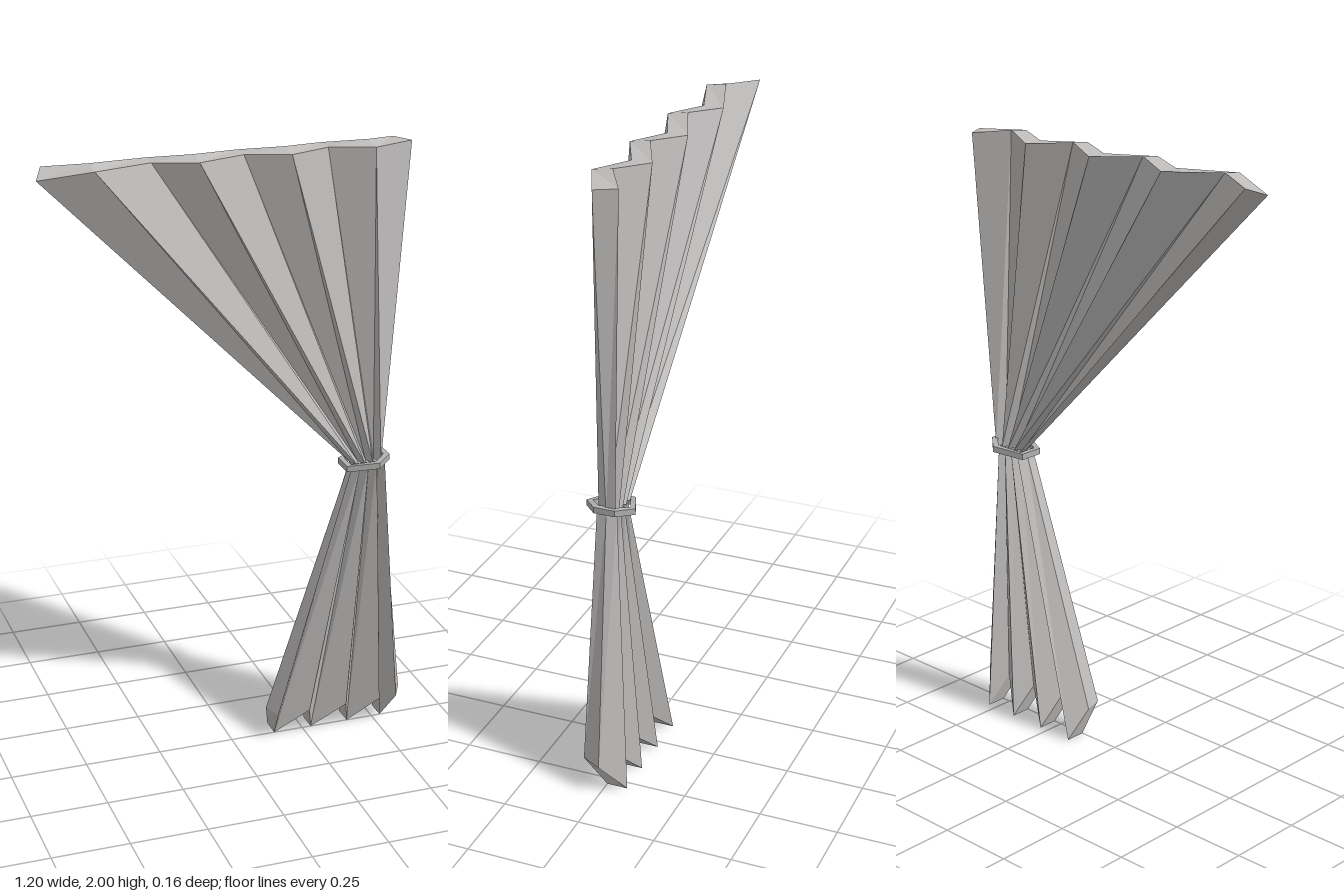
import * as THREE from 'three';

// Flat-shaded surface from quads of [x, y, z] corners, counter-clockwise from outside
function quadMesh(name, quads, material) {
  const pos = [];
  for (const [a, b, c, d] of quads) for (const p of [a, b, c, a, c, d]) pos.push(...p);
  const geo = new THREE.BufferGeometry();
  geo.setAttribute('position', new THREE.Float32BufferAttribute(pos, 3));
  geo.computeVertexNormals();
  const mesh = new THREE.Mesh(geo, material);
  mesh.name = name;
  return mesh;
}

// Pleated slab between two zigzag edges; each edge has front and back point rows
function pleats(name, upper, lower, material) {
  const loop = (e) => [...e.front, ...[...e.back].reverse()];
  const U = loop(upper), L = loop(lower), quads = [];
  for (let i = 0; i < U.length; i++) {
    const j = (i + 1) % U.length;
    quads.push([L[i], L[j], U[j], U[i]]);
  }
  for (let i = 0; i < upper.front.length - 1; i++) {
    quads.push([upper.front[i], upper.front[i + 1], upper.back[i + 1], upper.back[i]]);
    quads.push([lower.back[i], lower.back[i + 1], lower.front[i + 1], lower.front[i]]);
  }
  return quadMesh(name, quads, material);
}

// Gathered edge at the waist; phase 1 starts on a forward fold
function waist(phase) {
  const front = [], back = [];
  for (let i = 0; i < 9; i++) {
    const x = 0.4 + 0.11 * i / 8;
    const forward = (i + phase) % 2 === 1;
    front.push([x, 0.945, forward ? 0.03 : 0]);
    back.push([x, 0.945, forward ? 0 : -0.03]);
  }
  return { front, back };
}

export function createModel() {
  const group = new THREE.Group();
  group.name = 'curtain';
  const cloth = new THREE.MeshStandardMaterial({ color: 0xc0bebd });
  cloth.name = 'greyCloth';
  const tie = new THREE.MeshStandardMaterial({ color: 0xb2b1b0 });
  tie.name = 'tieGrey';

  // Upper drape: wide zigzag top edge, ends on backward folds
  const topX = [-0.57, -0.44, -0.25, -0.12, 0.04, 0.17, 0.31, 0.44, 0.55];
  const top = {
    front: topX.map((x, i) => [x, i % 2 ? 1.99 : 1.985, i % 2 ? 0.06 : -0.005]),
    back: topX.map((x, i) => [x, i % 2 ? 2 : 1.985, i % 2 ? -0.005 : -0.07]),
  };
  top.front[0] = [-0.6, 1.96, -0.005];
  top.front[8] = [0.585, 1.985, -0.005];
  group.add(pleats('upperDrape', top, waist(0), cloth));

  // Lower drape: forward folds hang at 0.1, backward folds reach the floor
  const hemX = [0.14, 0.15, 0.25, 0.28, 0.38, 0.41, 0.5, 0.53, 0.56];
  const hem = {
    front: hemX.map((x, i) => [x, i % 2 ? 0 : 0.1, i % 2 ? 0 : 0.065]),
    back: hemX.map((x, i) => [x, i % 2 ? 0 : 0.1, i % 2 ? -0.068 : 0]),
  };
  hem.back[0] = [0.12, 0.1, 0];
  hem.back[8] = [0.595, 0.1, 0];
  group.add(pleats('lowerDrape', waist(1), hem, cloth));

  // Tieback: tilted six-sided ring with a square section
  const corners = [[0.385, 0.035], [0.47, 0.07], [0.515, 0.03], [0.515, -0.03], [0.47, -0.07], [0.385, -0.035]];
  const sections = corners.map(([x, z]) => {
    const y = 0.938 + (x - 0.385) * 0.17, cx = 0.45;
    const len = Math.hypot(x - cx, z);
    const dx = (x - cx) / len * 0.01, dz = z / len * 0.01;
    return [[x + dx, y - 0.01, z + dz], [x + dx, y + 0.01, z + dz],
      [x - dx, y + 0.01, z - dz], [x - dx, y - 0.01, z - dz]];
  });
  const ringQuads = [];
  sections.forEach((a, i) => {
    const b = sections[(i + 1) % sections.length];
    for (let k = 0; k < 4; k++) {
      const m = (k + 1) % 4;
      ringQuads.push([a[k], b[k], b[m], a[m]]);
    }
  });
  group.add(quadMesh('tieback', ringQuads, tie));
  return group;
}
